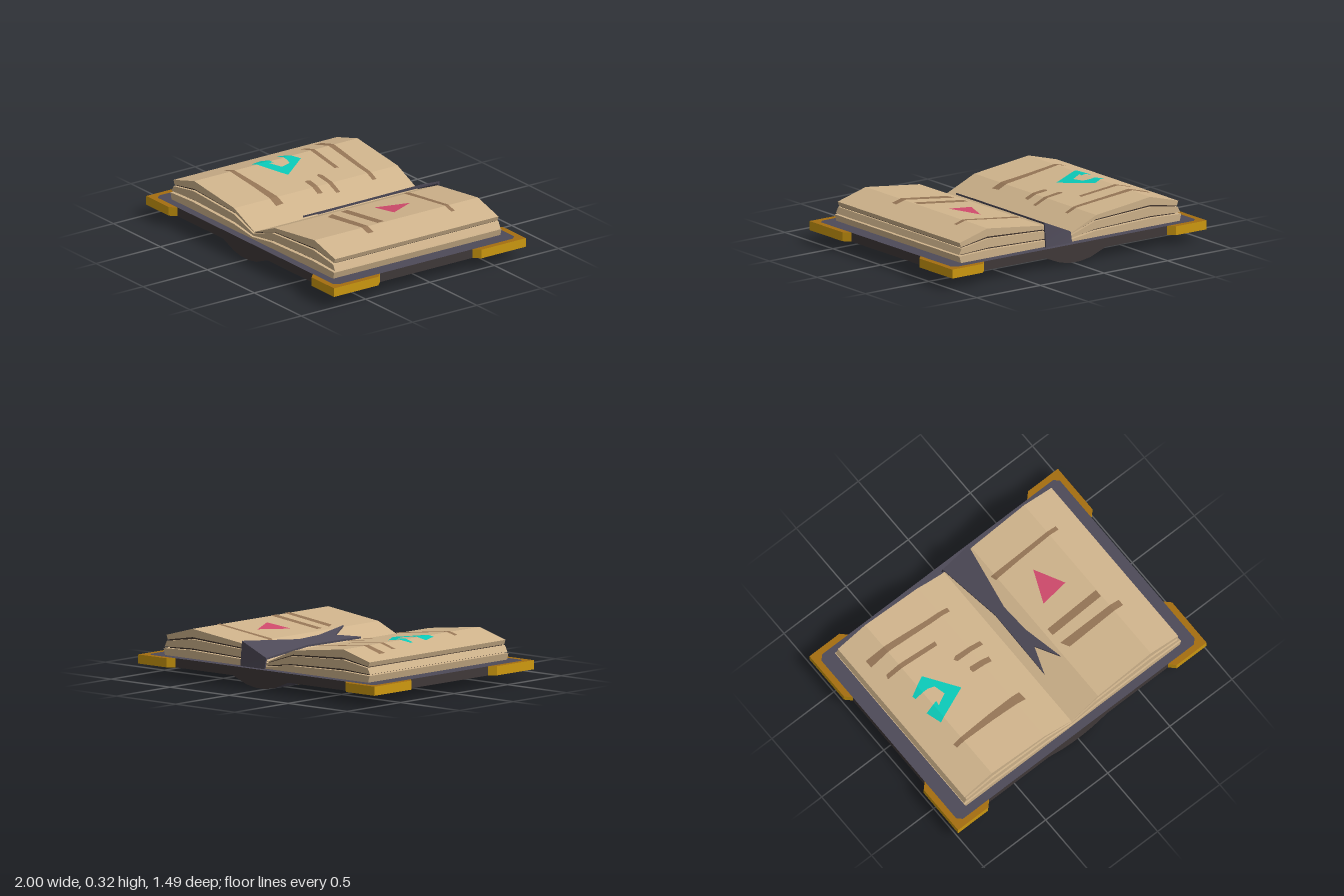
import * as THREE from 'three';

const mat = (name, color) => {
  const m = new THREE.MeshStandardMaterial({ color });
  m.name = name;
  return m;
};

export function createModel() {
  const cover = mat('coverPurple', 0x4e4a58);
  const edge = mat('coverEdge', 0x403939);
  const gold = mat('gold', 0xcf9a10);
  const darkGold = mat('darkGold', 0xa56e10);
  const page = mat('page', 0xd0b48c);
  const gap = mat('pageGap', 0x43362e);
  const ink = mat('ink', 0x967656);
  const teal = mat('teal', 0x0acab9);
  const pink = mat('pink', 0xd04a6c);

  const book = new THREE.Group();
  book.name = 'openBook';
  const add = (name, geometry, material) => {
    const mesh = new THREE.Mesh(geometry, material);
    mesh.name = name;
    book.add(mesh);
    return mesh;
  };
  const shapeOf = (pts) => new THREE.Shape(pts.map(([x, y]) => new THREE.Vector2(x, y)));

  // Upright profile (x, y) extruded along z, centred on z
  const alongZ = (pts, depth, z = 0) =>
    new THREE.ExtrudeGeometry(shapeOf(pts), { depth, bevelEnabled: false }).translate(0, 0, z - depth / 2);

  // Plan outline (x, z) extruded upwards from y0 to y1
  const alongY = (shape, y0, y1) =>
    new THREE.ExtrudeGeometry(shape, { depth: y1 - y0, bevelEnabled: false })
      .rotateX(-Math.PI / 2).translate(0, y0, 0);
  const plan = (pts) => shapeOf(pts.map(([x, z]) => [x, -z]));

  // Cover board with clipped corners
  const [Y0, Y1] = [0.07, 0.128];
  add('cover', alongY(plan([
    [0.96, 0.675], [0.93, 0.705], [-0.93, 0.705], [-0.96, 0.675],
    [-0.96, -0.675], [-0.93, -0.705], [0.93, -0.705], [0.96, -0.675],
  ]), Y0, Y1), [cover, edge]);

  // Metal corner guards
  const guard = [[1, 0.745], [0.76, 0.745], [0.72, 0.705], [0.93, 0.705], [0.96, 0.675], [0.96, 0.36], [1, 0.4]];
  for (const sx of [1, -1]) for (const sz of [1, -1])
    add('cornerGuard', alongY(plan(guard.map(([x, z]) => [x * sx, z * sz])), Y0, Y1), [darkGold, gold]);

  // Rounded spine and its raised bands
  const spine = [[-0.24, 0.072], [-0.12, 0.024], [-0.04, 0.01], [0.04, 0.01], [0.12, 0.024], [0.24, 0.072]];
  add('spine', alongZ(spine, 1.41), [edge, cover]);
  const band = spine.map(([x, y]) => [x * 1.02, y - 0.01]);
  for (const z of [-0.36, 0, 0.36]) add('spineBand', alongZ(band, 0.018, z), darkGold);

  // Pale frames under the two boards
  for (const s of [1, -1]) {
    const rect = (x0, x1, z) => [[s * x0, -z], [s * x1, -z], [s * x1, z], [s * x0, z]];
    const frame = shapeOf(rect(0.235, 0.93, 0.68));
    frame.holes.push(shapeOf(rect(0.285, 0.89, 0.64)));
    add('boardFrame', alongY(frame, Y0 - 0.004, Y0 + 0.002), page);
  }

  // Page blocks: three fanned layers over a dark core on each side
  const top = [[0, 0.172], [0.215, 0.265], [0.64, 0.315], [0.86, 0.255]];
  const layers = [
    [1.27, [...top, [0.85, 0.226], [0.64, 0.262], [0.21, 0.238], [0, 0.168]]],
    [1.285, [[0, 0.163], [0.2, 0.228], [0.64, 0.25], [0.85, 0.218], [0.87, 0.18], [0.64, 0.192], [0.2, 0.178], [0, 0.148]]],
    [1.3, [[0, 0.142], [0.2, 0.168], [0.64, 0.18], [0.872, 0.171], [0.86, 0.127], [0, 0.127]]],
  ];
  const core = [[0, 0.166], [0.21, 0.245], [0.64, 0.28], [0.84, 0.235], [0.84, 0.15], [0, 0.135]];
  for (const s of [1, -1]) {
    const mirror = (pts) => pts.map(([x, y]) => [x * s, y]);
    for (const [depth, pts] of layers) add('pageLayer', alongZ(mirror(pts), depth), page);
    add('pageGaps', alongZ(mirror(core), 1.25), gap);
  }

  // Height of the top page at x
  const pageY = (x) => {
    const a = Math.abs(x);
    let i = 0;
    while (i < 2 && a > top[i + 1][0]) i++;
    const [p, q] = [top[i], top[i + 1]];
    return p[1] + (q[1] - p[1]) * (a - p[0]) / (q[0] - p[0]);
  };

  // Keep the side of a polygon where dir * x >= dir * limit
  const clip = (pts, limit, dir) => pts.flatMap((p, i) => {
    const q = pts[(i + 1) % pts.length];
    const [dp, dq] = [dir * (p[0] - limit), dir * (q[0] - limit)];
    const out = dp >= 0 ? [p] : [];
    if (dp * dq < 0) out.push([limit, p[1] + (q[1] - p[1]) * dp / (dp - dq)]);
    return out;
  });

  // Painted mark (x, z) split at the page creases and laid on the page
  const creases = [-0.86, -0.64, -0.215, 0, 0.215, 0.64, 0.86];
  const mark = (name, material, pts) => {
    for (let i = 0; i < 6; i++) {
      const part = clip(clip(pts, creases[i], 1), creases[i + 1], -1);
      if (part.length < 3) continue;
      const g = new THREE.ShapeGeometry(plan(part));
      const p = g.attributes.position;
      for (let k = 0; k < p.count; k++) p.setXYZ(k, p.getX(k), pageY(p.getX(k)) + 0.004, -p.getY(k));
      g.computeVertexNormals();
      add(name, g, material);
    }
  };

  // Lines of writing
  [
    [[-0.78, -0.455], [-0.56, -0.445], [-0.32, -0.43], [-0.15, -0.425], [-0.15, -0.395], [-0.3, -0.395], [-0.61, -0.405], [-0.78, -0.4]],
    [[-0.75, -0.27], [-0.74, -0.3], [-0.61, -0.297], [-0.36, -0.285], [-0.365, -0.255], [-0.61, -0.265]],
    [[-0.345, -0.115], [-0.32, -0.13], [-0.125, -0.125], [-0.125, -0.095], [-0.33, -0.093]],
    [[-0.305, 0], [-0.295, -0.017], [-0.15, -0.008], [-0.155, 0.03], [-0.3, 0.024]],
    [[-0.705, 0.33], [-0.4, 0.308], [-0.15, 0.298], [-0.145, 0.36], [-0.4, 0.355], [-0.7, 0.36]],
    [[0.19, -0.41], [0.4, -0.407], [0.71, -0.405], [0.71, -0.377], [0.4, -0.375], [0.2, -0.37]],
    [[0.245, 0.09], [0.635, 0.09], [0.635, 0.142], [0.245, 0.142]],
    [[0.25, 0.212], [0.71, 0.225], [0.71, 0.27], [0.28, 0.27]],
  ].forEach((pts) => mark('inkLine', ink, pts));

  // Coloured symbols
  mark('tealSymbol', teal, [
    [-0.705, -0.08], [-0.575, -0.147], [-0.425, 0.062], [-0.675, 0.168], [-0.705, 0.062],
    [-0.61, 0.04], [-0.615, 0.072], [-0.535, 0.03], [-0.555, -0.045], [-0.6, -0.058], [-0.7, -0.055],
  ]);
  mark('pinkTriangle', pink, [[0.42, -0.27], [0.52, -0.072], [0.33, -0.055]]);

  // Bookmark ribbon lying on the inner slope of the page
  const ribbonY = (x) => 0.185 + 0.43 * x;
  const ribbon = alongY(plan([
    [0, -0.65], [0.205, -0.65], [0.13, -0.2], [0.14, 0], [0.195, 0.285], [0.115, 0.12], [0.055, 0.295], [0.06, -0.2],
  ]), 0, 0.012);
  const rp = ribbon.attributes.position;
  for (let i = 0; i < rp.count; i++) rp.setY(i, rp.getY(i) + ribbonY(rp.getX(i)));
  ribbon.computeVertexNormals();
  add('ribbon', ribbon, cover);

  // Ribbon end hanging over the back of the pages
  const tail = new THREE.BoxGeometry(0.205, 1, 0.01).translate(0.1025, 0, 0);
  const tp = tail.attributes.position;
  for (let i = 0; i < tp.count; i++) {
    const up = tp.getY(i) > 0;
    tp.setY(i, up ? ribbonY(tp.getX(i)) + 0.012 : 0.127);
    tp.setZ(i, tp.getZ(i) - (up ? 0.648 : 0.664));
  }
  tail.computeVertexNormals();
  add('ribbonTail', tail, cover);

  return book;
}
